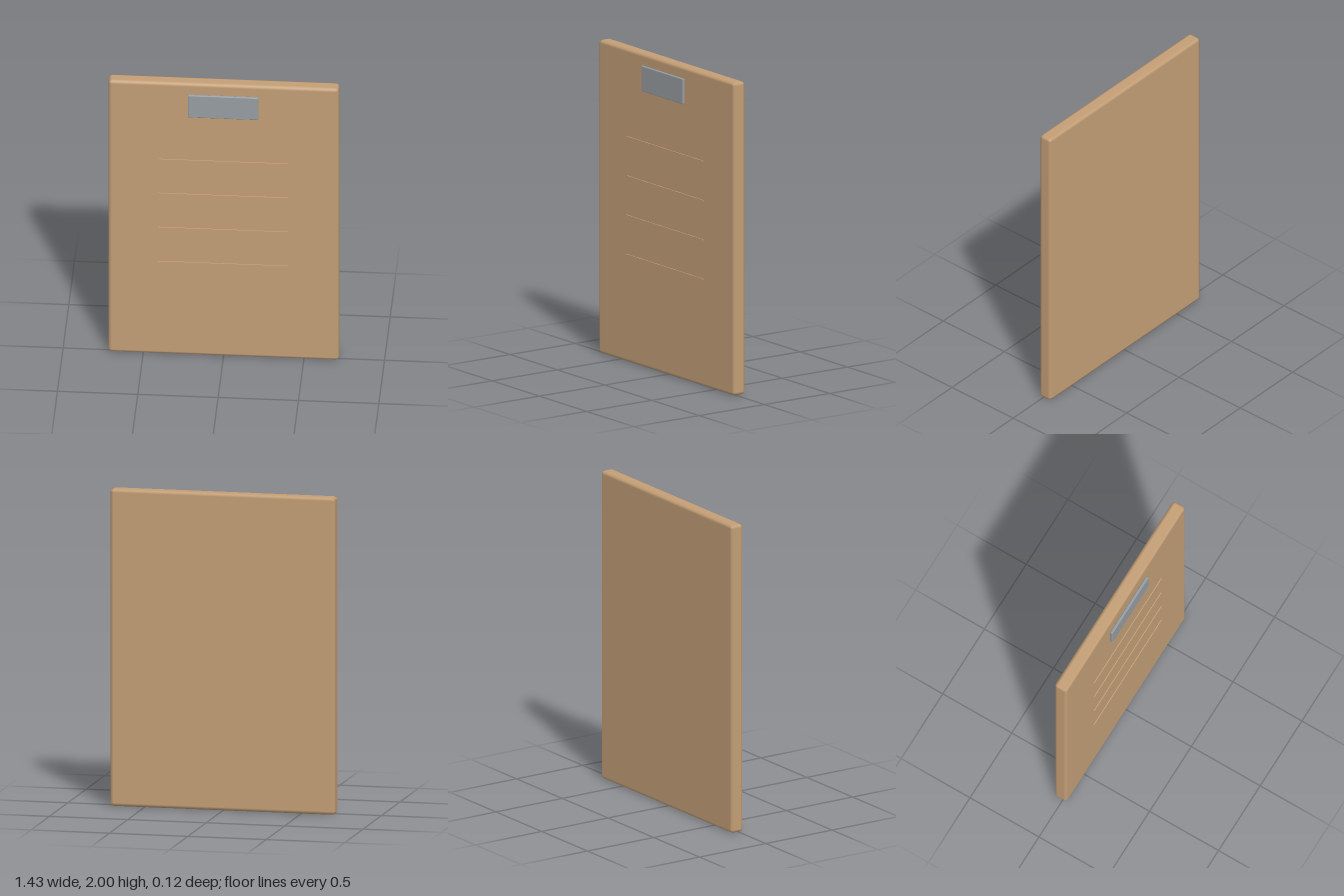
import * as THREE from 'three';
import { RoundedBoxGeometry } from 'three/addons/geometries/RoundedBoxGeometry.js';

export function createModel() {
  const group = new THREE.Group();
  const tan = new THREE.MeshStandardMaterial({ color: 0xc49f76 });
  tan.name = 'tan board';
  const steel = new THREE.MeshStandardMaterial({ color: 0x979da2 });
  steel.name = 'grey metal';

  const add = (name, geometry, material, y, z) => {
    const mesh = new THREE.Mesh(geometry, material);
    mesh.name = name;
    mesh.position.set(0, y, z);
    group.add(mesh);
  };

  // Backing board with softened edges
  add('board', new RoundedBoxGeometry(1.435, 2, 0.09, 1, 0.022), tan, 1, -0.017);

  // Sheet lying just proud of the board
  add('paper', new THREE.PlaneGeometry(1.25, 1.715), tan, 1.0025, 0.035);

  // Four ruled lines on the sheet
  for (let i = 0; i < 4; i++) {
    add('ruledLine' + (i + 1), new THREE.BoxGeometry(0.81, 0.008, 0.006), tan, 1.442 - i * 0.251, 0.039);
  }

  // Metal clip at the top edge
  add('clip', new RoundedBoxGeometry(0.44, 0.163, 0.019, 1, 0.006), steel, 1.853, 0.0515);

  return group;
}
